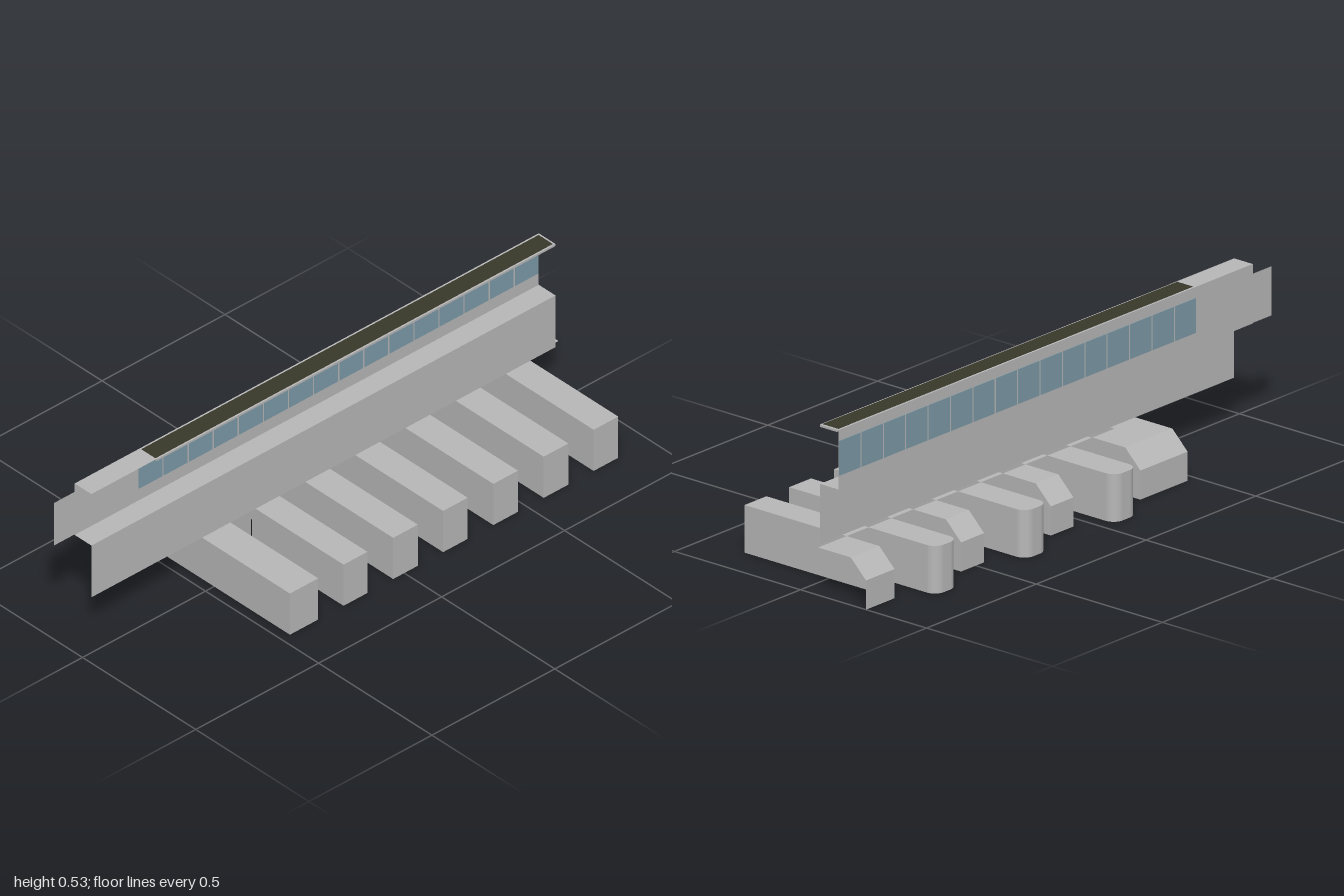
import * as THREE from 'three';

export function createModel() {
  const model = new THREE.Group();
  const concrete = new THREE.MeshStandardMaterial({ color: 0xb8b8b8, side: THREE.DoubleSide });
  concrete.name = 'grey concrete';
  const glass = new THREE.MeshStandardMaterial({ color: 0x7d9ba8 });
  glass.name = 'blue glass';
  const roofing = new THREE.MeshStandardMaterial({ color: 0x38382a });
  roofing.name = 'dark roofing';

  const add = (name, geometry, material, parent = model) => {
    const mesh = new THREE.Mesh(geometry, material);
    mesh.name = name;
    parent.add(mesh);
    return mesh;
  };
  const box = (name, x0, x1, y0, y1, z0, z1, material) =>
    add(name, new THREE.BoxGeometry(x1 - x0, y1 - y0, z1 - z0), material)
      .position.set((x0 + x1) / 2, (y0 + y1) / 2, (z0 + z1) / 2);

  // Open sheet: a (z, y) profile swept along x from x0 to x1, flat faces
  const sheet = (name, x0, x1, profile, parent) => {
    const pos = [];
    for (let i = 0; i + 1 < profile.length; i++) {
      const [za, ya] = profile[i], [zb, yb] = profile[i + 1];
      pos.push(x0, ya, za, x1, ya, za, x1, yb, zb, x0, ya, za, x1, yb, zb, x0, yb, zb);
    }
    const g = new THREE.BufferGeometry();
    g.setAttribute('position', new THREE.Float32BufferAttribute(pos, 3));
    g.computeVertexNormals();
    return add(name, g, concrete, parent);
  };
  // Side wall: a (z, y) polygon standing at x
  const side = (name, x, points, parent) => {
    const shape = new THREE.Shape(points.map(([z, y]) => new THREE.Vector2(-z, y)));
    const g = new THREE.ShapeGeometry(shape).rotateY(Math.PI / 2);
    const mesh = add(name, g, concrete, parent);
    mesh.position.x = x;
    return mesh;
  };

  const H = 0.152, FRONT = 0.335, MID = -0.07, BACK = -0.26, TIP = -0.337;
  const barX = [[-0.465, -0.35], [-0.247, -0.15], [-0.045, 0.055], [0.158, 0.258],
    [0.362, 0.462], [0.567, 0.667], [0.77, 0.87]];
  const chamfer = [[-0.2, H], [BACK, 0.093], [BACK, 0]];

  // Hollow front bars: roof and end wall; the sides are shared with the rear bays
  barX.forEach(([x0, x1], i) => {
    const bar = new THREE.Group();
    bar.name = 'frontBar' + (i + 1);
    model.add(bar);
    sheet('barShell', x0, x1, [[MID, H], [FRONT, H], [FRONT, 0]], bar);
    [x0, x1].forEach((x, s) => {
      if (i === 0 && s === 1) return; // first bar is open on its inner side
      side('barSide', x, [[FRONT, 0], [FRONT, H], [MID, H], [MID, 0]], bar);
    });
    if (i === 0) sheet('barFloor', x0, x1, [[BACK, 0], [FRONT, 0]], bar);
  });

  // Chamfered rear bays, open to the front
  [[-0.465, -0.25], [0.055, 0.158], [0.462, 0.567], [0.87, 1.0]].forEach(([x0, x1], i) => {
    const bay = new THREE.Group();
    bay.name = 'chamferedBay' + (i + 1);
    model.add(bay);
    sheet('bayShell', x0, x1, [[MID, H], ...chamfer], bay);
    (i === 3 ? [x0] : [x0, x1]).forEach(x =>
      side('baySide', x, [[MID, 0], [MID, H], ...chamfer], bay));
  });

  // Round-cornered rear bays
  [[-0.15, -0.045], [0.258, 0.362], [0.667, 0.77]].forEach(([x0, x1], i) => {
    const bay = new THREE.Group();
    bay.name = 'roundedBay' + (i + 1);
    model.add(bay);
    const r = 0.036, n = 8, outline = [[x0, MID, -1, 0]];
    for (const [cx, start] of [[x0 + r, Math.PI], [x1 - r, Math.PI * 1.5]]) {
      for (let k = 0; k <= n; k++) {
        const a = start + k / n * Math.PI / 2;
        outline.push([cx + r * Math.cos(a), TIP + r + r * Math.sin(a), Math.cos(a), Math.sin(a)]);
      }
    }
    outline.push([x1, MID, 1, 0]);
    const pos = [], normal = [], index = [];
    outline.forEach(([x, z, nx, nz], k) => {
      pos.push(x, 0, z, x, H, z);
      normal.push(nx, 0, nz, nx, 0, nz);
      const a = 2 * k;
      if (k + 1 < outline.length) index.push(a, a + 1, a + 2, a + 1, a + 3, a + 2);
    });
    const wall = new THREE.BufferGeometry();
    wall.setAttribute('position', new THREE.Float32BufferAttribute(pos, 3));
    wall.setAttribute('normal', new THREE.Float32BufferAttribute(normal, 3));
    wall.setIndex(index);
    add('bayWall', wall, concrete, bay);
    const shape = new THREE.Shape(outline.map(([x, z]) => new THREE.Vector2(x, -z)));
    add('bayRoof', new THREE.ShapeGeometry(shape).rotateX(-Math.PI / 2), concrete, bay).position.y = H;
  });

  // Stepped facade: lower wall, ledge, upper wall and overhanging roof
  const X0 = -0.915, X1 = 0.972, LOW = -0.053, UP = -0.127, LEDGE = 0.343, TOP = 0.533;
  sheet('facade', X0, X1, [[LOW, H], [LOW, LEDGE], [UP, LEDGE], [UP, TOP], [LOW, TOP]]);
  sheet('endTab', -1, X0, [[UP, 0.345], [UP, 0.502]]);

  // Roof edging and dark covering
  box('roofEdging', -0.65, X1, 0.525, TOP - 0.001, -0.12, LOW, concrete);
  box('roofCovering', -0.65, 0.965, TOP - 0.001, TOP + 0.001, -0.12, -0.058, roofing);

  // Row of windows, showing on both faces of the upper wall
  for (let i = 0; i < 16; i++) {
    const x = -0.655 + i * 0.102;
    box('window' + (i + 1), x, x + 0.095, 0.387, 0.498, UP - 0.002, UP + 0.002, glass);
  }
  return model;
}
